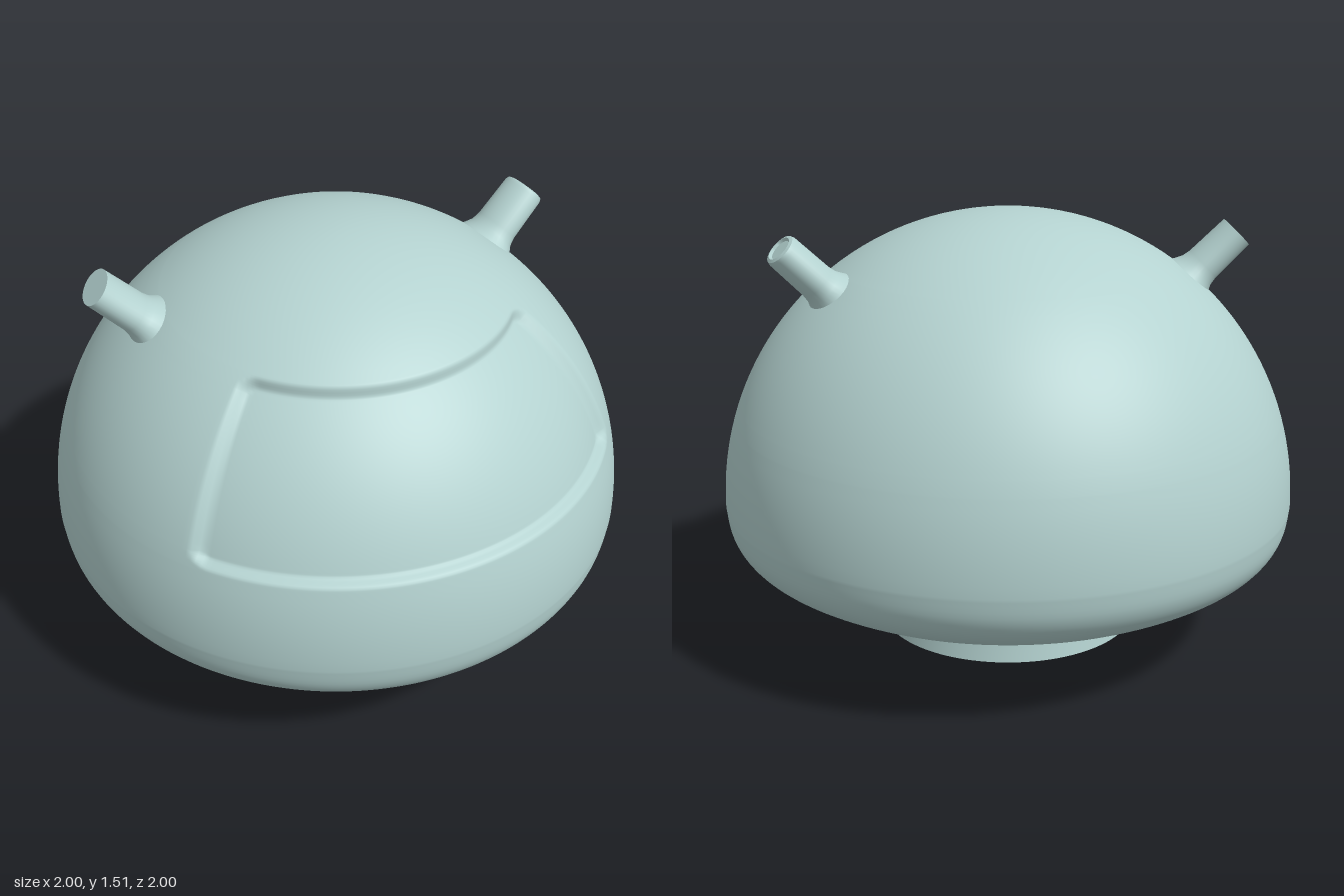
import * as THREE from 'three';
import { mergeVertices, toCreasedNormals } from 'three/addons/utils/BufferGeometryUtils.js';

const material = new THREE.MeshStandardMaterial({ color: 0xb4d2d0, side: THREE.DoubleSide });
const deg = THREE.MathUtils.degToRad;
const CENTRE_Y = 0.515; // centre of the unit dome
const TURN = deg(2); // visor and antennae sit slightly turned on the body

const pts = (list) => list.map(([x, y]) => new THREE.Vector2(x, y));

function addMesh(parent, name, geometry) {
  const mesh = new THREE.Mesh(geometry, material);
  mesh.name = name;
  parent.add(mesh);
  return mesh;
}

// Depth of the visor recess: a rounded rectangle in azimuth and elevation
function visorDepth(x, y, z) {
  const r = Math.hypot(x, z);
  if (y < 0.7 || z < 0) return 0;
  const azimuth = Math.abs(Math.atan2(x, z) - TURN);
  const elevation = Math.asin(Math.min(1, y - CENTRE_Y));
  const corner = 0.06;
  const p = (azimuth - deg(53)) * r + corner;
  const q = Math.abs(elevation - 0.623) - 0.313 + corner;
  const d = Math.hypot(Math.max(p, 0), Math.max(q, 0)) + Math.min(Math.max(p, q), 0) - corner;
  return 0.028 * THREE.MathUtils.smoothstep(-d, 0, 0.035);
}

function bodyGeometry() {
  // Rounded underside, then a dome with rows packed around the visor's edges
  const under = new THREE.SplineCurve(pts([
    [0.575, 0.202], [0.75, 0.25], [0.88, 0.315], [0.95, 0.37], [0.987, 0.435], [1, CENTRE_Y],
  ])).getPoints(24);
  const dome = [];
  const arc = (from, to, n) => {
    for (let i = 1; i <= n; i++) {
      const a = from + ((to - from) * i) / n;
      dome.push(new THREE.Vector2(Math.max(0, Math.cos(a)), CENTRE_Y + Math.sin(a)));
    }
  };
  arc(0, 0.3, 8);
  arc(0.3, 0.36, 10);
  arc(0.36, 0.88, 24);
  arc(0.88, 0.945, 10);
  arc(0.945, Math.PI / 2, 16);

  let geo = new THREE.LatheGeometry([...under, ...dome], 320, Math.PI);
  const pos = geo.attributes.position;
  const v = new THREE.Vector3();
  for (let i = 0; i < pos.count; i++) {
    v.fromBufferAttribute(pos, i);
    const depth = visorDepth(v.x, v.y, v.z);
    if (!depth) continue;
    v.y -= CENTRE_Y;
    v.multiplyScalar(1 - depth);
    pos.setXYZ(i, v.x, v.y + CENTRE_Y, v.z);
  }
  geo.deleteAttribute('uv');
  geo.deleteAttribute('normal');
  geo = mergeVertices(geo);
  geo.computeVertexNormals();
  return geo;
}

// Oval stub leaning outward, with a small flare at the root
function addAntenna(parent, name, azimuth, tip) {
  const profile = pts([[0.095, 0.03], [0.08, 0.055], [0.068, 0.08], [0.063, 0.11], ...tip]);
  const geo = toCreasedNormals(new THREE.LatheGeometry(profile, 32), deg(40));
  const pivot = new THREE.Group();
  pivot.name = name;
  pivot.rotation.y = azimuth;
  parent.add(pivot);
  const stub = addMesh(pivot, name + 'Stub', geo);
  stub.position.set(0.6, 1.24, 0);
  stub.rotation.z = deg(-45.5);
  stub.scale.z = 1.35;
}

export function createModel() {
  const model = new THREE.Group();
  model.name = 'domedHead';

  addMesh(model, 'body', bodyGeometry());

  // Neck flaring into the groove under the body
  const neck = new THREE.SplineCurve(pts([
    [0.458, 0.04], [0.447, 0.13], [0.452, 0.175], [0.47, 0.208], [0.52, 0.222], [0.575, 0.202],
  ]));
  addMesh(model, 'neck', new THREE.LatheGeometry(neck.getPoints(20), 96));

  // Gently bulging neck base
  addMesh(model, 'neckBase', new THREE.LatheGeometry(
    pts([[0, 0], [0.16, 0.005], [0.32, 0.02], [0.458, 0.04]]), 96));

  // One rimmed tip, one flat tip
  addAntenna(model, 'leftAntenna', deg(9) + TURN,
    [[0.06, 0.26], [0.056, 0.272], [0.045, 0.276], [0.038, 0.268], [0, 0.268]]);
  addAntenna(model, 'rightAntenna', Math.PI - deg(9) + TURN, [[0.06, 0.268], [0, 0.268]]);

  return model;
}
